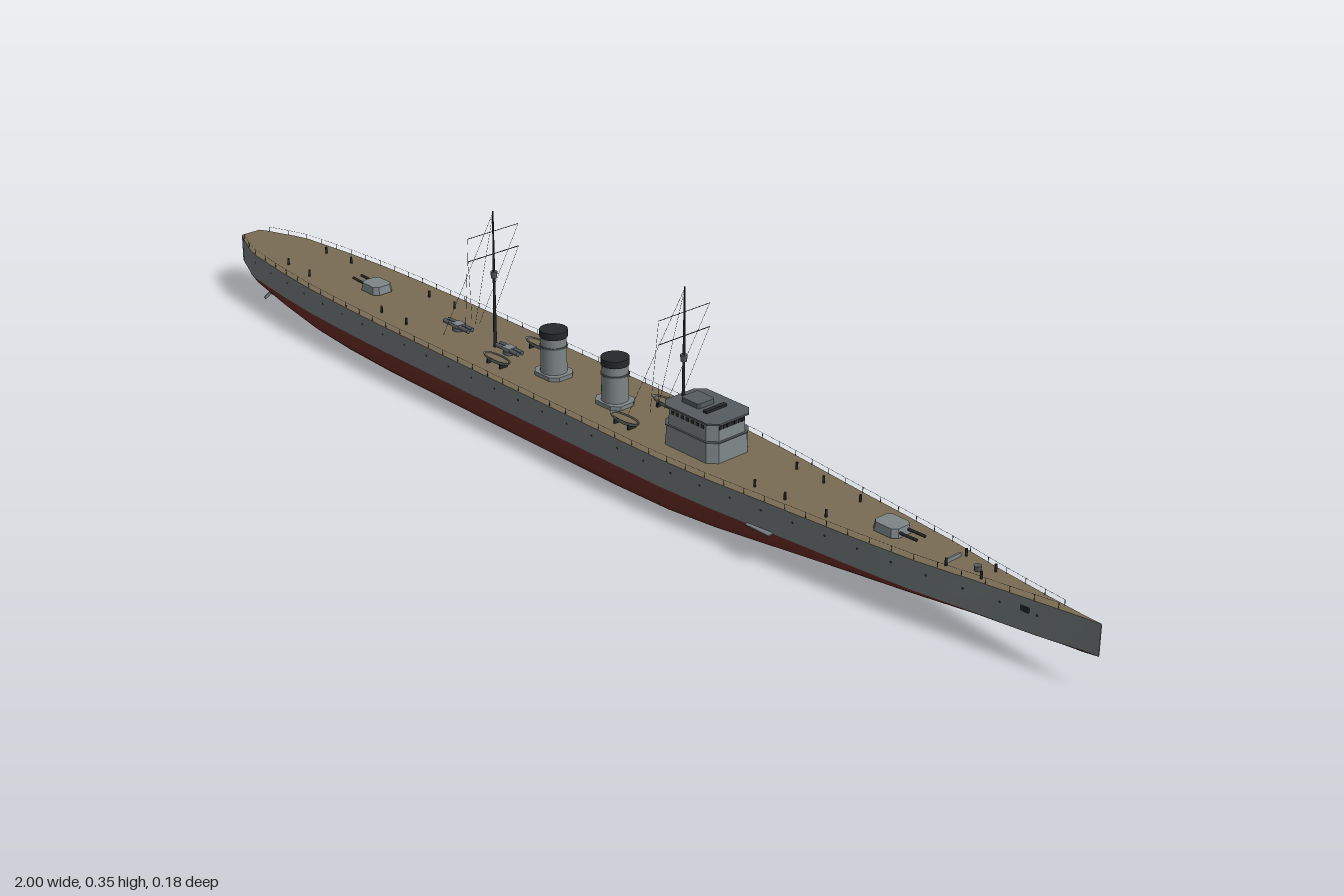
import * as THREE from 'three';
import { mergeGeometries } from 'three/addons/utils/BufferGeometryUtils.js';

const mat = (name, color, side = THREE.FrontSide) =>
  Object.assign(new THREE.MeshStandardMaterial({ color, side }), { name });
const GREY = mat('hull grey', 0x737b7c);
const PALE = mat('upperworks grey', 0x7d8587);
const ROOF = mat('roof grey', 0x565c60);
const RED = mat('antifouling red', 0x6a2c26);
const DECK = mat('deck planking', 0x7a6c54);
const DARK = mat('black fittings', 0x26282a);
const THIN = mat('grey thin plate', 0x6f7778, THREE.DoubleSide);

// Stations: x, half beam, keel height, fullness (1 = full bilge, 0 = V section)
const STATIONS = [
  [-1, 0.02, 0.05, 0.2], [-0.985, 0.028, 0.046, 0.25], [-0.96, 0.038, 0.041, 0.3], [-0.93, 0.051, 0.035, 0.4],
  [-0.9, 0.06, 0.03, 0.5], [-0.8, 0.073, 0.017, 0.7], [-0.7, 0.082, 0.01, 0.9],
  [-0.6, 0.086, 0.007, 1], [-0.48, 0.0885, 0.004, 1], [-0.2, 0.0885, 0.002, 1],
  [0.1, 0.0885, 0.002, 1], [0.22, 0.0875, 0.003, 0.95], [0.32, 0.081, 0.006, 0.85],
  [0.42, 0.071, 0.011, 0.7], [0.5, 0.063, 0.017, 0.6], [0.6, 0.054, 0.025, 0.45],
  [0.7, 0.043, 0.034, 0.3], [0.8, 0.026, 0.043, 0.15], [0.9, 0.012, 0.051, 0.05],
  [0.97, 0.003, 0.0555, 0], [1, 0.0006, 0.06, 0],
];
const waterY = x => 0.055 + Math.max(0, x - 0.9) * 0.06;
const deckY = x => 0.102 + 0.009 * Math.max(0, (x - 0.5) / 0.5) ** 2;
function beamAt(x) {
  const i = Math.max(1, STATIONS.findIndex(s => s[0] >= x));
  const [a, b] = [STATIONS[i - 1], STATIONS[i]];
  return THREE.MathUtils.lerp(a[1], b[1], (x - a[0]) / (b[0] - a[0]));
}

// Skin through equal-length sections of [x, y, z] points
function loft(sections) {
  const n = sections[0].length, index = [];
  for (let i = 0; i < sections.length - 1; i++)
    for (let j = 0; j < n - 1; j++) {
      const a = i * n + j, b = a + n;
      index.push(a, a + 1, b, a + 1, b + 1, b);
    }
  const g = new THREE.BufferGeometry();
  g.setAttribute('position', new THREE.Float32BufferAttribute(sections.flat(2), 3));
  g.setIndex(index);
  g.computeVertexNormals();
  return g;
}

function add(parent, name, geometry, material, x = 0, y = 0, z = 0) {
  const m = new THREE.Mesh(geometry, material);
  m.name = name;
  m.position.set(x, y, z);
  parent.add(m);
  return m;
}
const box = (w, h, d) => new THREE.BoxGeometry(w, h, d);
const cyl = (r1, r2, h, n = 20, open = false) => new THREE.CylinderGeometry(r1, r2, h, n, 1, open);

// Upright block with clipped corners, standing on y = 0 and narrowing upwards
function block(w, h, d, clip, taper = 1) {
  const a = w / 2, b = d / 2, s = new THREE.Shape();
  s.setFromPoints([[a, -b + clip], [a, b - clip], [a - clip, b], [-a + clip, b], [-a, b - clip],
    [-a, -b + clip], [-a + clip, -b], [a - clip, -b]].map(p => new THREE.Vector2(...p)));
  const g = new THREE.ExtrudeGeometry(s, { depth: h, bevelEnabled: false }).rotateX(-Math.PI / 2);
  const p = g.attributes.position;
  for (let i = 0; i < p.count; i++)
    if (p.getY(i) > h / 2) p.setXYZ(i, p.getX(i) * taper, p.getY(i), p.getZ(i) * taper);
  g.computeVertexNormals();
  return g;
}

// Thin straight rod between two points
function rod(a, b, r, n = 4) {
  const A = new THREE.Vector3(...a), B = new THREE.Vector3(...b), d = B.clone().sub(A);
  const q = new THREE.Quaternion().setFromUnitVectors(new THREE.Vector3(0, 1, 0), d.clone().normalize());
  const mid = A.add(B).multiplyScalar(0.5);
  return cyl(r, r, d.length(), n).applyQuaternion(q).translate(mid.x, mid.y, mid.z);
}

function buildHull() {
  const g = new THREE.Group();
  g.name = 'hull';
  const round = [[1, 1], [0.985, 0.72], [0.955, 0.48], [0.9, 0.28], [0.82, 0.14], [0.7, 0.05], [0.5, 0.01], [0, 0]];
  const lower = STATIONS.map(([x, w, k, f]) => {
    const top = waterY(x);
    const half = round.map(([u, v]) => {
      const vv = THREE.MathUtils.lerp(u ** 1.5, v, f);
      return [x, k + (top - k) * vv, w * u];
    });
    return [...half, ...half.slice(0, -1).reverse().map(([a, b, c]) => [a, b, -c])];
  });
  add(g, 'lowerHull', loft(lower), RED);
  for (const s of [1, -1]) {
    const side = STATIONS.map(([x, w]) => {
      const p = [[x, deckY(x), s * w], [x, waterY(x), s * w]];
      return s > 0 ? p : p.reverse();
    });
    add(g, s > 0 ? 'leftHullSide' : 'rightHullSide', loft(side), GREY);
  }
  add(g, 'deck', loft(STATIONS.map(([x, w]) => [[x, deckY(x), -w], [x, deckY(x), w]])), DECK);
  add(g, 'transom', box(0.003, 0.05, 0.04), GREY, -0.9985, 0.0765);
  add(g, 'stem', box(0.003, 0.048, 0.0014), GREY, 0.9985, 0.086);

  // Portholes, anchors and fin plates along both sides
  for (const s of [1, -1]) {
    const ports = [];
    for (let x = -0.9; x < 0.95; x += 0.06) {
      const slope = Math.atan2(beamAt(x + 0.01) - beamAt(x - 0.01), 0.02);
      ports.push(new THREE.CircleGeometry(0.0022, 8).rotateY(s > 0 ? -slope : Math.PI + slope)
        .translate(x, 0.087, s * (beamAt(x) + 0.0008)));
    }
    add(g, 'portholes', mergeGeometries(ports), DARK);
    add(g, 'anchor', box(0.014, 0.008, 0.004), DARK, 0.88, 0.09, s * beamAt(0.88));
    add(g, 'sidePlate', box(0.05, 0.002, 0.012), GREY, 0.42, 0.056, s * 0.074);
    add(g, 'propellerShaft', rod([-0.76, 0.022, s * 0.03], [-0.9, 0.02, s * 0.03], 0.0025, 8), GREY);
    for (let i = 0; i < 3; i++)
      add(g, 'propellerBlade', box(0.002, 0.02, 0.006).translate(0, 0.006, 0), THIN, -0.9, 0.02, s * 0.03)
        .rotation.x = i * Math.PI * 2 / 3;
  }
  add(g, 'rudder', box(0.06, 0.026, 0.004), PALE, -0.914, 0.025);
  return g;
}

function buildRailing() {
  const parts = [];
  for (const s of [1, -1]) {
    let last = null;
    for (let x = -0.98; x < 0.97; x += 0.039) {
      const y = deckY(x), z = s * (beamAt(x) - 0.0015), top = [x, y + 0.009, z];
      parts.push(rod([x, y, z], top, 0.0006));
      if (last) parts.push(rod(last, top, 0.00025, 3));
      last = top;
    }
  }
  return mergeGeometries(parts);
}

function buildBridge() {
  const g = new THREE.Group();
  g.name = 'bridge';
  add(g, 'lowerTier', block(0.12, 0.036, 0.09, 0.014, 0.97), PALE, 0, 0.1);
  add(g, 'tierLedge', block(0.12, 0.002, 0.09, 0.014), ROOF, 0, 0.135);
  add(g, 'upperTier', block(0.112, 0.03, 0.084, 0.014, 0.98), PALE, 0, 0.137);
  for (let i = -3; i <= 3; i++) {
    add(g, 'frontWindow', box(0.004, 0.006, 0.006), DARK, 0.0545, 0.159, i * 0.008);
    for (const s of [1, -1]) add(g, 'sideWindow', box(0.007, 0.006, 0.004), DARK, i * 0.011, 0.159, s * 0.04);
  }
  add(g, 'roof', block(0.122, 0.003, 0.09, 0.014), ROOF, 0, 0.166);
  add(g, 'roofHouse', block(0.04, 0.008, 0.036, 0.003), ROOF, -0.02, 0.169);
  add(g, 'rangefinder', box(0.008, 0.004, 0.044), DARK, 0.018, 0.172);
  g.position.x = 0.228;
  return g;
}

function buildFunnel(x) {
  const g = new THREE.Group();
  g.name = 'funnel';
  add(g, 'casing', block(0.06, 0.008, 0.052, 0.012), PALE, 0, 0.101);
  add(g, 'stack', cyl(0.021, 0.0225, 0.07, 24), PALE, 0, 0.143);
  add(g, 'cap', cyl(0.0235, 0.0235, 0.012, 24), DARK, 0, 0.177);
  add(g, 'band', cyl(0.0232, 0.0232, 0.003, 24), ROOF, 0, 0.155);
  g.position.x = x;
  return g;
}

// Mast with yards, lookout and stays running aft and abeam
function buildMast(x, top) {
  const g = new THREE.Group();
  g.name = 'mast';
  add(g, 'pole', cyl(0.0012, 0.0032, top - 0.1, 8), DARK, 0, (top + 0.1) / 2);
  add(g, 'lookout', cyl(0.006, 0.005, 0.011, 10), ROOF, 0, 0.233);
  const lines = [rod([0, 0.31, -0.054], [0, 0.31, 0.054], 0.0006),
    rod([0, 0.27, -0.054], [0, 0.27, 0.054], 0.0008)];
  for (const s of [1, -1])
    lines.push(rod([0, top - 0.003, 0], [-0.095, 0.104, s * 0.035], 0.0003, 3),
      rod([0, 0.31, s * 0.054], [-0.06, 0.12, s * 0.015], 0.0003, 3),
      rod([0, 0.27, s * 0.054], [-0.03, 0.15, s * 0.025], 0.0003, 3));
  add(g, 'yardsAndStays', mergeGeometries(lines), DARK);
  g.position.x = x;
  return g;
}

// Twin gun mount; dir is the way the barrels point
function buildTurret(x, dir) {
  const g = new THREE.Group();
  g.name = 'gunTurret';
  add(g, 'turretBase', cyl(0.017, 0.017, 0.004, 20), ROOF, 0, 0.002);
  add(g, 'gunHouse', block(0.05, 0.014, 0.042, 0.008, 0.9), PALE, 0, 0.003);
  for (const s of [1, -1])
    add(g, 'barrel', rod([0.02, 0.01, s * 0.009], [0.056, 0.011, s * 0.009], 0.0024, 8), DARK);
  g.position.set(x, deckY(x), 0);
  if (dir < 0) g.rotation.y = Math.PI;
  return g;
}

function buildTubes(x, length) {
  const g = new THREE.Group();
  g.name = 'torpedoTubes';
  add(g, 'turntable', cyl(0.01, 0.011, 0.005, 16), ROOF, 0, 0.0025);
  for (const s of [1, -1])
    add(g, 'tube', rod([-length / 2, 0.008, s * 0.0045], [length / 2, 0.008, s * 0.0045], 0.004, 10), ROOF);
  add(g, 'tubeShield', box(0.018, 0.006, 0.018), PALE, 0, 0.009);
  g.position.set(x, 0.102, 0);
  return g;
}

function buildBoat(x, z) {
  const g = new THREE.Group();
  g.name = 'boat';
  const shell = new THREE.SphereGeometry(1, 20, 8, 0, Math.PI * 2, Math.PI / 2, Math.PI / 2);
  add(g, 'boatHull', shell.scale(0.033, 0.011, 0.011), THIN, 0, 0.014);
  add(g, 'boatCover', new THREE.CircleGeometry(1, 20).rotateX(-Math.PI / 2).scale(0.029, 1, 0.0085), DECK, 0, 0.0125);
  for (const s of [1, -1]) add(g, 'cradle', box(0.003, 0.008, 0.016), DARK, s * 0.016, 0.004);
  g.position.set(x, 0.102, z);
  return g;
}

export function createModel() {
  const ship = new THREE.Group();
  ship.name = 'warship';
  ship.add(buildHull(), buildBridge(), buildFunnel(-0.134), buildFunnel(0.016),
    buildMast(0.175, 0.352), buildMast(-0.285, 0.345),
    buildTurret(0.617, 1), buildTurret(-0.613, -1), buildTubes(-0.383, 0.064), buildTubes(-0.248, 0.056));
  add(ship, 'railing', buildRailing(), DARK);
  for (const x of [-0.225, 0.09]) for (const s of [1, -1]) ship.add(buildBoat(x, s * 0.046));
  // Small deck fittings: bollards, capstan, vents and breakwater
  for (const x of [-0.82, -0.75, -0.53, -0.46, 0.38, 0.44, 0.52, 0.74, 0.8])
    for (const s of [1, -1])
      add(ship, 'bollard', cyl(0.002, 0.002, 0.012, 8), DARK, x, deckY(x) + 0.006, s * beamAt(x) * 0.6);
  add(ship, 'capstan', cyl(0.006, 0.005, 0.008, 12), ROOF, 0.78, deckY(0.78) + 0.004);
  add(ship, 'breakwater', box(0.003, 0.007, 0.03), PALE, 0.735, deckY(0.735) + 0.003);
  return ship;
}
